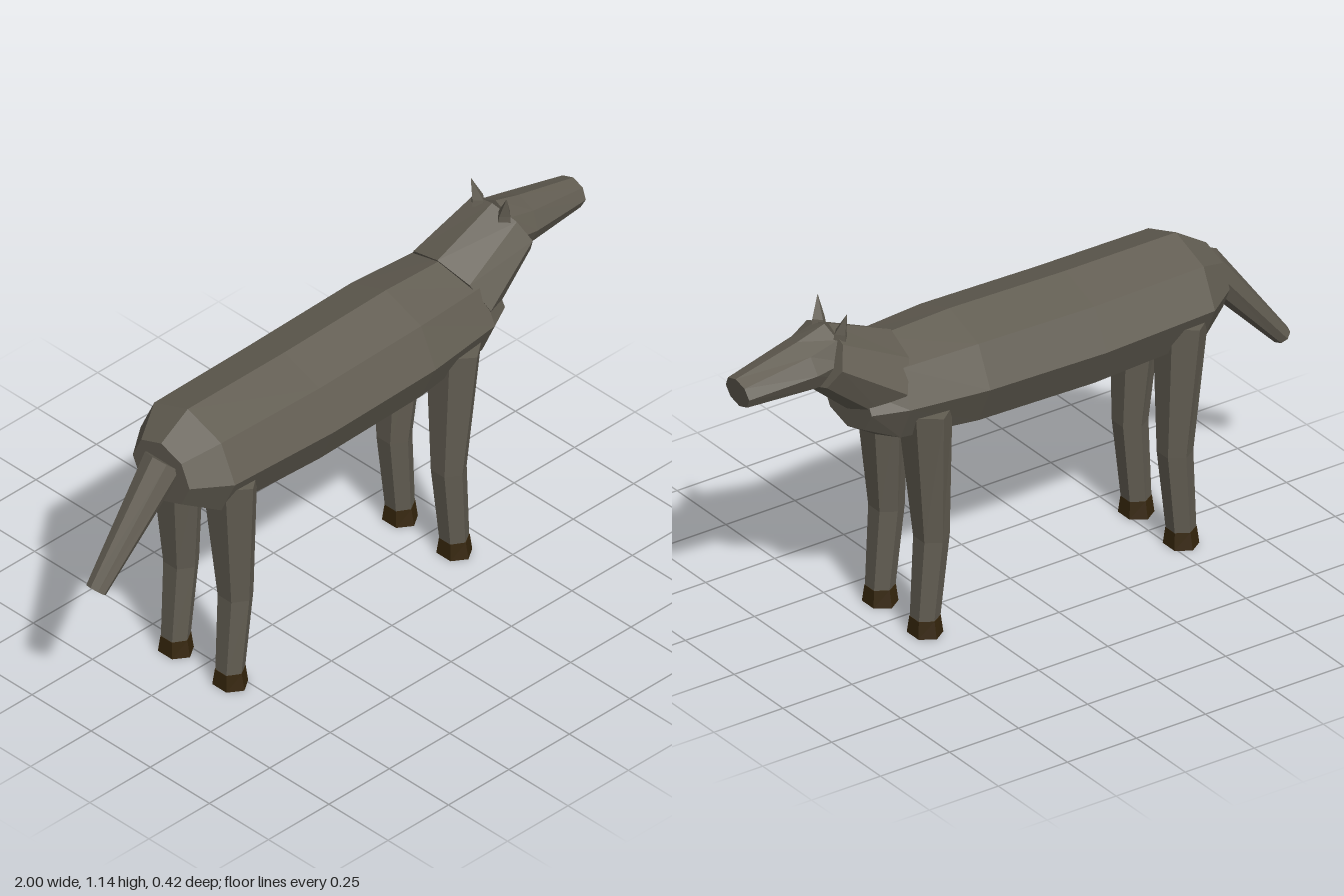
import * as THREE from 'three';

const coat = new THREE.MeshStandardMaterial({ color: 0x625d52 });
coat.name = 'greyBrownCoat';
const horn = new THREE.MeshStandardMaterial({ color: 0x35250c });
horn.name = 'darkHoof';

// Closed faceted loft. Each ring: [x, y, z, radius in the side plane, radius along z];
// tilt is the angle of the ring's axis above +x, in degrees.
function loft(name, rings, { tilt = 0, sides = 8, phase = 0, material = coat } = {}) {
  const t = THREE.MathUtils.degToRad(tilt);
  const positions = [];
  const index = [];
  for (const [x, y, z, ru, rz] of rings) {
    for (let j = 0; j < sides; j++) {
      const a = ((j + phase) / sides) * Math.PI * 2;
      const u = ru * Math.cos(a);
      positions.push(x - Math.sin(t) * u, y + Math.cos(t) * u, z + rz * Math.sin(a));
    }
  }
  const last = rings.length - 1;
  const start = rings.length * sides;
  positions.push(...rings[0].slice(0, 3), ...rings[last].slice(0, 3));
  for (let j = 0; j < sides; j++) {
    const k = (j + 1) % sides;
    for (let i = 0; i < last; i++) {
      const a = i * sides, b = a + sides;
      index.push(a + j, a + k, b + k, a + j, b + k, b + j);
    }
    index.push(start, k, j, start + 1, last * sides + j, last * sides + k);
  }
  let geometry = new THREE.BufferGeometry();
  geometry.setAttribute('position', new THREE.Float32BufferAttribute(positions, 3));
  geometry.setIndex(index);
  geometry = geometry.toNonIndexed();
  geometry.computeVertexNormals();
  const mesh = new THREE.Mesh(geometry, material);
  mesh.name = name;
  return mesh;
}

export function createModel() {
  const model = new THREE.Group();
  model.name = 'horse';

  // Barrel from rump to chest
  model.add(loft('body', [
    [-0.71, 0.805, 0, 0.105, 0.12],
    [-0.60, 0.805, 0, 0.175, 0.2],
    [-0.20, 0.797, 0, 0.183, 0.21],
    [0.22, 0.807, 0, 0.183, 0.21],
    [0.49, 0.815, 0, 0.165, 0.185],
    [0.59, 0.8, 0, 0.09, 0.125],
  ]));

  // Neck
  model.add(loft('neck', [
    [0.49, 0.86, 0, 0.14, 0.168],
    [0.70, 0.99, 0, 0.1, 0.13],
  ], { tilt: 24 }));

  // Head tapering to the muzzle
  model.add(loft('head', [
    [0.66, 0.99, 0, 0.095, 0.09],
    [0.76, 0.975, 0, 0.08, 0.09],
    [0.988, 0.953, 0, 0.048, 0.06],
  ], { tilt: -8 }));

  // Tail, sloping down behind the rump
  model.add(loft('tail', [
    [-0.70, 0.84, 0, 0.06, 0.065],
    [-0.98, 0.51, 0, 0.03, 0.035],
  ], { tilt: 230 }));

  for (const s of [1, -1]) {
    // Ears: four-sided spikes leaning outward
    model.add(loft(s > 0 ? 'rightEar' : 'leftEar', [
      [0.655, 1.055, s * 0.055, 0.025, 0.028],
      [0.655, 1.075, s * 0.057, 0.022, 0.024],
      [0.645, 1.14, s * 0.075, 0.001, 0.001],
    ], { tilt: 90, sides: 4 }));

    // Legs and hooves; the knee bends toward the middle of the body
    for (const [name, x, bend] of [['frontLeg', 0.39, -0.023], ['hindLeg', -0.537, 0.022]]) {
      const hex = { tilt: 90, sides: 6, phase: 0.5 };
      const leg = new THREE.Group();
      leg.name = name;
      leg.add(loft('limb', [
        [x, 0.05, s * 0.115, 0.045, 0.047],
        [x + bend, 0.32, s * 0.115, 0.053, 0.058],
        [x, 0.765, s * 0.112, 0.076, 0.1],
      ], hex));
      leg.add(loft('hoof', [
        [x, 0, s * 0.115, 0.052, 0.06],
        [x, 0.055, s * 0.115, 0.046, 0.049],
      ], { ...hex, material: horn }));
      model.add(leg);
    }
  }
  return model;
}
